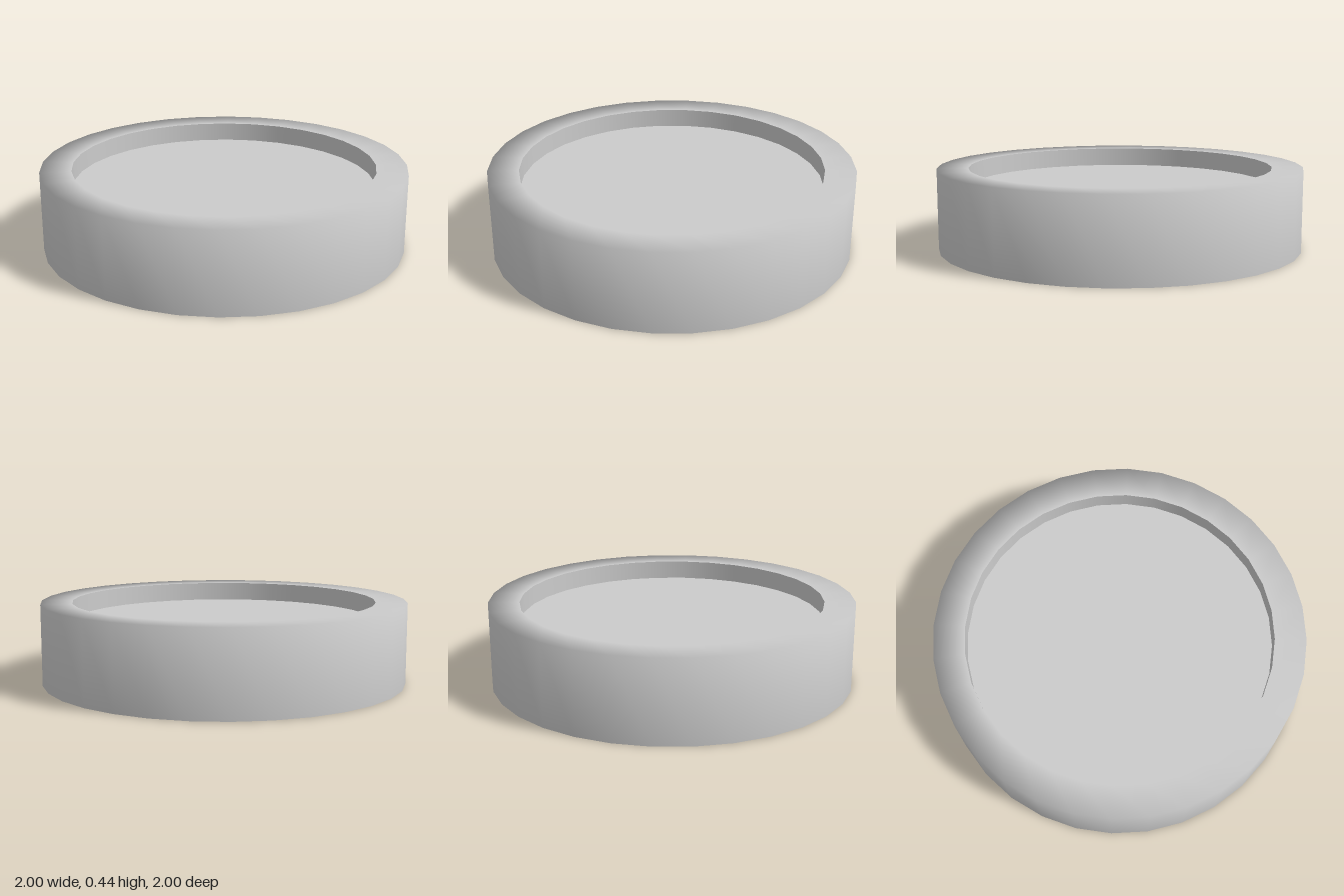
import * as THREE from 'three';

const SIDES = 32;
const OUTER = 1, INNER = 0.83, HEIGHT = 0.44, FLOOR = 0.335;

export function createModel() {
  const group = new THREE.Group();
  group.name = 'shallowRoundTray';
  const material = new THREE.MeshStandardMaterial({ color: 0xcccccc });

  function add(name, geometry) {
    const mesh = new THREE.Mesh(geometry, material);
    mesh.name = name;
    group.add(mesh);
    return mesh;
  }
  const lathe = (...points) =>
    new THREE.LatheGeometry(points.map(([r, y]) => new THREE.Vector2(r, y)), SIDES);
  const disc = (radius) => new THREE.CircleGeometry(radius, SIDES);

  // Outer wall and flat rim, shaded smoothly across the outer edge
  add('outerWallAndRim', lathe([OUTER, 0], [OUTER, HEIGHT], [INNER, HEIGHT]));

  // Recess: short inner wall and floor
  add('recessWall', lathe([INNER, HEIGHT], [INNER, FLOOR]));
  add('recessFloor', disc(INNER).rotateX(-Math.PI / 2)).position.y = FLOOR;

  // Underside
  add('base', disc(OUTER).rotateX(Math.PI / 2));

  return group;
}
